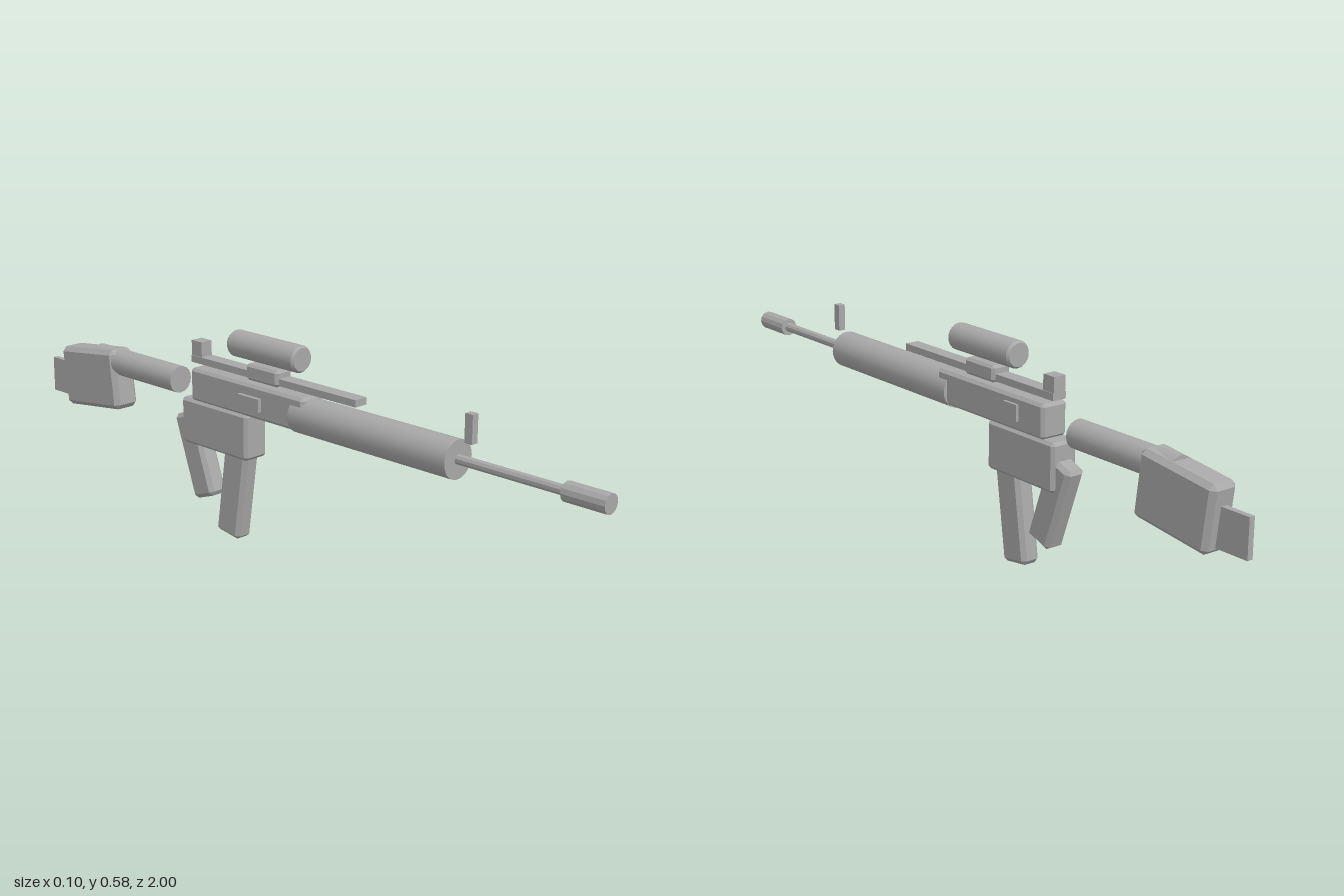
import * as THREE from 'three';
import { ConvexGeometry } from 'three/addons/geometries/ConvexGeometry.js';

const grey = new THREE.MeshStandardMaterial({ color: 0xa8a8a8 });
grey.name = 'grey metal';

// Box with every edge cut at 45 degrees by c
function chamferBox(w, h, d, c) {
  const points = [];
  for (const x of [-1, 1]) for (const y of [-1, 1]) for (const z of [-1, 1]) {
    for (const [a, b, e] of [[0, c, c], [c, 0, c], [c, c, 0]]) {
      points.push(new THREE.Vector3(x * (w / 2 - a), y * (h / 2 - b), z * (d / 2 - e)));
    }
  }
  return new ConvexGeometry(points);
}

export function createModel() {
  const group = new THREE.Group();

  function add(name, geometry, x, y, z, tilt = 0) {
    const mesh = new THREE.Mesh(geometry, grey);
    mesh.name = name;
    mesh.position.set(x, y, z);
    mesh.rotation.x = tilt;
    group.add(mesh);
  }

  // Box given by its limits, chamfered when c is set
  function block(name, x0, x1, y0, y1, z0, z1, c = 0) {
    const size = [x1 - x0, y1 - y0, z1 - z0];
    const geometry = c ? chamferBox(...size, c) : new THREE.BoxGeometry(...size);
    add(name, geometry, (x0 + x1) / 2, (y0 + y1) / 2, (z0 + z1) / 2);
  }

  // Cylinder along z
  function rod(name, r, y, z0, z1, sides, flat = false) {
    let geometry = new THREE.CylinderGeometry(r, r, z1 - z0, sides).rotateX(Math.PI / 2);
    if (flat) {
      geometry = geometry.toNonIndexed();
      geometry.computeVertexNormals();
    }
    add(name, geometry, 0, y, (z0 + z1) / 2);
  }

  // Barrel group
  rod('muzzle', 0.025, 0.405, 0.88, 1, 12, true);
  rod('barrel', 0.013, 0.405, 0.5, 0.9, 10, true);
  rod('handguard', 0.05, 0.404, 0.04, 0.565, 24);
  block('frontSight', -0.01, 0.01, 0.453, 0.526, 0.59, 0.613);

  // Receivers and their side details
  block('upperReceiver', -0.039, 0.039, 0.367, 0.458, -0.345, 0.083, 0.008);
  block('lowerReceiver', -0.039, 0.039, 0.241, 0.369, -0.384, -0.127, 0.008);
  block('rightSidePlate', -0.05, -0.03, 0.392, 0.428, -0.148, -0.068);
  block('leftSideButton', 0.03, 0.047, 0.395, 0.438, -0.253, -0.2);

  // Rail, sights and scope
  block('topRail', -0.02, 0.02, 0.468, 0.487, -0.36, 0.25);
  block('rearSight', -0.018, 0.018, 0.47, 0.528, -0.36, -0.32);
  block('scopeMount', -0.029, 0.029, 0.464, 0.508, -0.137, -0.02, 0.007);
  const profile = [[0, -0.125], [0.031, -0.125], [0.036, -0.118], [0.036, 0.118], [0.031, 0.125], [0, 0.125]];
  // Separate bands keep the chamfered rims sharp
  for (let i = 0; i < profile.length - 1; i++) {
    const band = [profile[i], profile[i + 1]].map(([r, t]) => new THREE.Vector2(r, t));
    add('scope', new THREE.LatheGeometry(band, 18).rotateX(Math.PI / 2), 0, 0.547, -0.08);
  }

  // Magazine and grip lean apart
  add('magazine', chamferBox(0.054, 0.3, 0.09, 0.011), 0, 0.155, -0.2, 0.145);
  add('grip', chamferBox(0.058, 0.24, 0.083, 0.011), 0, 0.205, -0.352, -0.34);

  // Stock
  rod('stockTube', 0.0375, 0.4, -0.78, -0.43, 20);
  add('stock', chamferBox(0.08, 0.172, 0.241, 0.013), 0, 0.339, -0.792, 0.125 * -1);
  block('buttPlate', -0.008, 0.008, 0.256, 0.357, -1, -0.88);

  return group;
}
